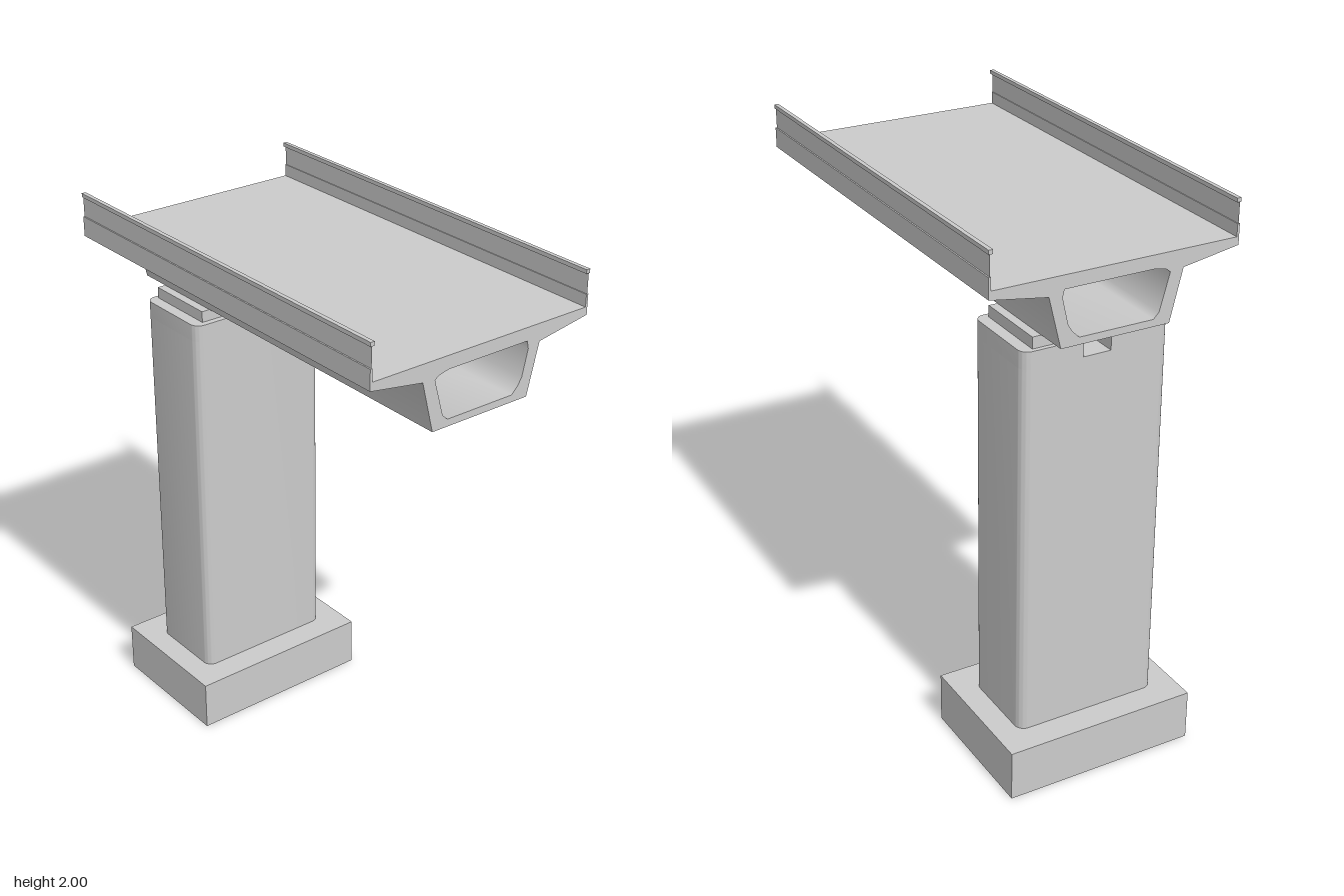
import * as THREE from 'three';
import { toCreasedNormals } from 'three/addons/utils/BufferGeometryUtils.js';

const grey = new THREE.MeshStandardMaterial({ color: 0xcccccc });
const greyThin = new THREE.MeshStandardMaterial({ color: 0xcccccc, side: THREE.DoubleSide });

const LENGTH = 1.55;   // span along z
const PIER_Z = -0.52;  // pier centre line

function add(parent, name, geometry, material = grey) {
  const mesh = new THREE.Mesh(geometry, material);
  mesh.name = name;
  parent.add(mesh);
  return mesh;
}

// Box given by its limits on each axis
function box(x0, x1, y0, y1, z0, z1) {
  return new THREE.BoxGeometry(x1 - x0, y1 - y0, z1 - z0)
    .translate((x0 + x1) / 2, (y0 + y1) / 2, (z0 + z1) / 2);
}

const outline = (points) => points.map(([x, y]) => new THREE.Vector2(x, y));

// Upright prism on a rectangle; rl and rr round its -x and +x corners
function column(x0, x1, depth, y0, y1, rl, rr) {
  const h = depth / 2;
  const s = new THREE.Shape();
  s.moveTo(x0 + rl, -h);
  s.lineTo(x1 - rr, -h);
  if (rr) s.absarc(x1 - rr, -h + rr, rr, -Math.PI / 2, 0);
  s.lineTo(x1, h - rr);
  if (rr) s.absarc(x1 - rr, h - rr, rr, 0, Math.PI / 2);
  s.lineTo(x0 + rl, h);
  if (rl) s.absarc(x0 + rl, h - rl, rl, Math.PI / 2, Math.PI);
  s.lineTo(x0, -h + rl);
  if (rl) s.absarc(x0 + rl, -h + rl, rl, Math.PI, Math.PI * 1.5);
  const g = new THREE.ExtrudeGeometry(s, { depth: y1 - y0, bevelEnabled: false, curveSegments: 6 });
  g.rotateX(-Math.PI / 2).translate(0, y0, PIER_Z);
  return toCreasedNormals(g, 0.6);
}

// Hollow box girder with cantilevered deck wings
function girder() {
  const s = new THREE.Shape(outline([
    [-0.44, 1.845], [-0.238, 1.812], [-0.194, 1.635], [0.194, 1.635],
    [0.238, 1.812], [0.44, 1.845], [0.44, 1.873], [-0.44, 1.873],
  ]));
  s.holes.push(new THREE.Path(outline([
    [-0.19, 1.806], [-0.175, 1.818], [-0.135, 1.827], [0.185, 1.827], [0.191, 1.8],
    [0.17, 1.71], [0.155, 1.685], [0.13, 1.66], [-0.135, 1.66], [-0.155, 1.68],
  ])));
  const g = new THREE.ExtrudeGeometry(s, { depth: LENGTH, bevelEnabled: false });
  g.translate(0, 0, -LENGTH / 2);
  return toCreasedNormals(g, THREE.MathUtils.degToRad(70));
}

export function createModel() {
  const model = new THREE.Group();
  model.name = 'viaductSegment';
  const end = LENGTH / 2;

  // Footing and pier, with a notch running through the pier head
  add(model, 'footing', box(-0.353, 0.353, 0, 0.185, -end, -0.265));
  const pier = new THREE.Group();
  pier.name = 'pier';
  model.add(pier);
  const r = 0.035;
  add(pier, 'pierShaft', column(-0.267, 0.267, 0.312, 0.185, 1.535, r, r));
  add(pier, 'pierHeadRight', column(-0.267, -0.05, 0.312, 1.535, 1.595, r, 0));
  add(pier, 'pierHeadLeft', column(0.05, 0.267, 0.312, 1.535, 1.595, 0, r));

  add(model, 'girder', girder());

  for (const [side, sx] of [['Left', 1], ['Right', -1]]) {
    const span = (a, b) => (sx > 0 ? [a, b] : [-b, -a]);
    // Bearing pad between pier and girder
    add(model, 'bearing' + side, box(...span(0.08, 0.225), 1.595, 1.635, -0.66, -0.387));
    // Parapet: kerb strip, thin panel, top rail
    const parapet = new THREE.Group();
    parapet.name = 'parapet' + side;
    model.add(parapet);
    add(parapet, 'kerb' + side, box(...span(0.432, 0.44), 1.873, 1.916, -end, end));
    const panel = new THREE.PlaneGeometry(LENGTH, 0.07)
      .rotateY(sx * Math.PI / 2).translate(sx * 0.435, 1.951, 0);
    add(parapet, 'panel' + side, panel, greyThin);
    add(parapet, 'rail' + side, box(...span(0.425, 0.44), 1.986, 2, -end, end));
  }
  return model;
}
